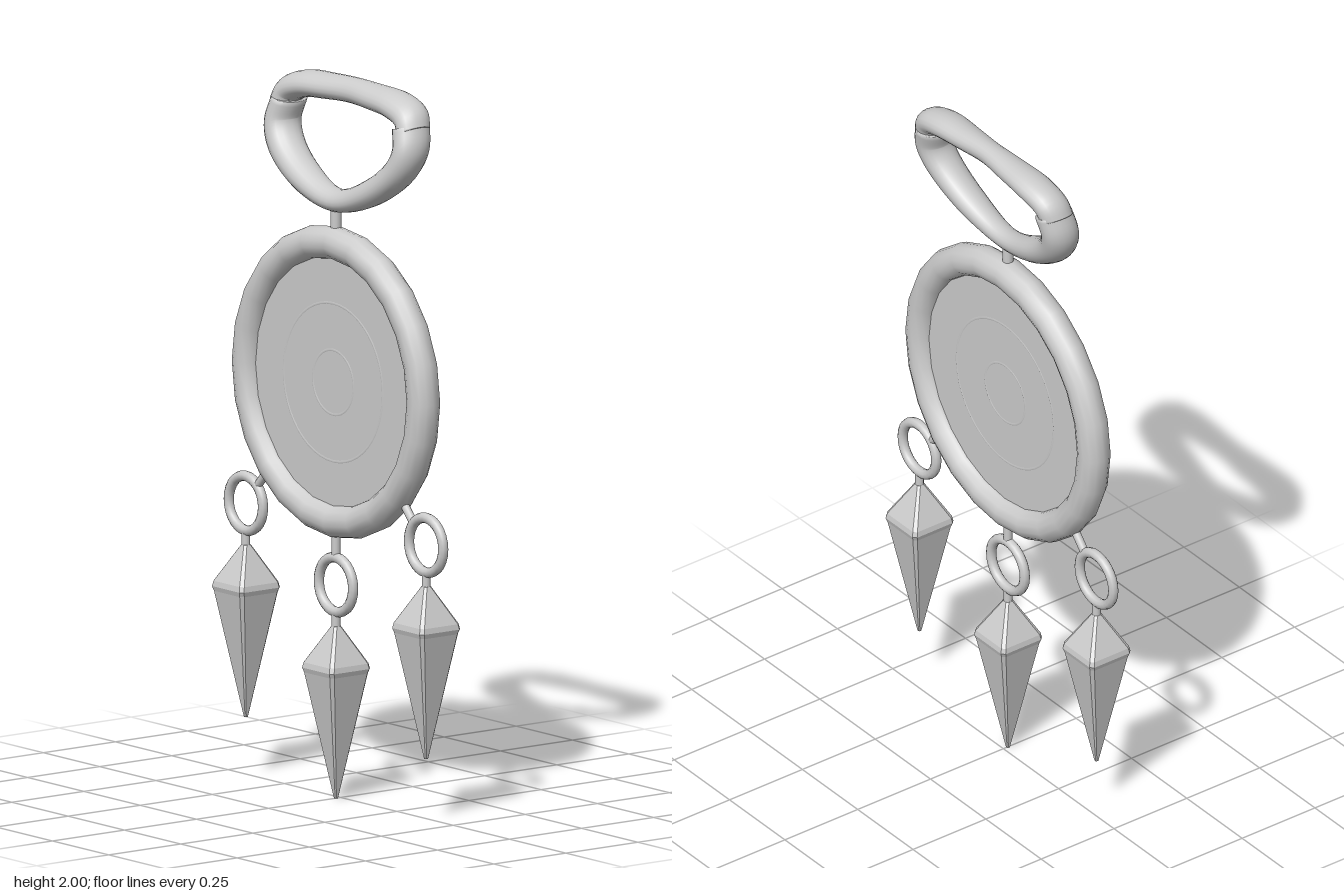
import * as THREE from 'three';

const Z = 0.016; // depth of the pendant's middle plane
const grey = new THREE.MeshStandardMaterial({ color: 0xcccccc });
const greyFlat = new THREE.MeshStandardMaterial({ color: 0xcccccc, flatShading: true });

function add(parent, name, geometry, x = 0, y = 0, z = 0, material = grey) {
  const mesh = new THREE.Mesh(geometry, material);
  mesh.name = name;
  mesh.position.set(x, y, z);
  parent.add(mesh);
  return mesh;
}

// Skin over rings of points that run counter-clockwise around the direction of travel
function skin(rings) {
  const n = rings[0].length, index = [];
  for (let i = 0; i < rings.length - 1; i++) {
    for (let j = 0; j < n; j++) {
      const k = (j + 1) % n;
      const a = i * n + j, b = i * n + k, c = b + n, d = a + n;
      index.push(a, b, c, a, c, d);
    }
  }
  const geometry = new THREE.BufferGeometry().setFromPoints(rings.flat());
  geometry.setIndex(index);
  geometry.computeVertexNormals();
  return geometry;
}

// Oval tube; each point is [x, y, half width in plane, half depth]
function ovalTube(half, steps) {
  const mirrored = half.slice(0, -1).reverse().map(([x, y, a, b]) => [-x, y, a, b]);
  const all = [...half, ...mirrored];
  const path = new THREE.CatmullRomCurve3(all.map(([x, y]) => new THREE.Vector3(x, y, 0)));
  const size = new THREE.CatmullRomCurve3(all.map(([, , a, b]) => new THREE.Vector3(a, b, 0)));
  const ring = (u, scale) => {
    const p = path.getPoint(u), t = path.getTangent(u), s = size.getPoint(u);
    const points = [];
    for (let j = 0; j < 20; j++) {
      const angle = (j / 20) * Math.PI * 2;
      const w = Math.cos(angle) * s.x * scale;
      const x = p.x - t.y * w, y = p.y + t.x * w;
      // the whole loop leans back as it rises
      const z = 0.013 - (y - 1.665) * 0.19 + Math.sin(angle) * s.y * scale;
      points.push(new THREE.Vector3(x, y, z));
    }
    return points;
  };
  const rings = [ring(0, 0), ring(0, 0.9)];
  for (let i = 0; i <= steps; i++) rings.push(ring(i / steps, 1));
  rings.push(ring(1, 0.9), ring(1, 0));
  return skin(rings);
}

// Thin round bar between two points in the middle plane
function bar(parent, name, x1, y1, x2, y2, radius) {
  const length = Math.hypot(x2 - x1, y2 - y1);
  const mesh = add(parent, name, new THREE.CylinderGeometry(radius, radius, length, 12),
    (x1 + x2) / 2, (y1 + y2) / 2, Z);
  mesh.rotation.z = -Math.atan2(x2 - x1, y2 - y1);
}

// Square spike with chamfered corners, tip at y = 0
function spikeGeometry() {
  const sections = [[0, 0], [0, 0.005], [0.35, 0.066], [0.363, 0.07], [0.378, 0.067], [0.48, 0.012], [0.48, 0]];
  return skin(sections.map(([y, h]) => {
    const c = h - Math.min(0.009, h * 0.5);
    return [[-c, h], [c, h], [h, c], [h, -c], [c, -h], [-c, -h], [-h, -c], [-h, c]]
      .map(([x, z]) => new THREE.Vector3(x, y, z));
  }));
}

export function createModel() {
  const model = new THREE.Group();
  model.name = 'pendant';

  // Hanging loop: lower band and upper bar meeting at the corners
  const loop = new THREE.Group();
  loop.name = 'hangingLoop';
  model.add(loop);
  add(loop, 'loopLowerBand', ovalTube([
    [-0.27, 1.907, 0.042, 0.056], [-0.284, 1.845, 0.043, 0.056], [-0.255, 1.785, 0.043, 0.054],
    [-0.15, 1.71, 0.039, 0.048], [0, 1.666, 0.031, 0.037],
  ], 48));
  add(loop, 'loopUpperBar', ovalTube([
    [-0.283, 1.895, 0.039, 0.05], [-0.265, 1.93, 0.039, 0.052], [-0.2, 1.954, 0.037, 0.054],
    [-0.1, 1.962, 0.035, 0.047], [0, 1.966, 0.034, 0.039],
  ], 48));
  bar(model, 'loopConnector', 0, 1.57, 0, 1.65, 0.015);

  // Round frame with its inset plate and engraved-looking circles
  const medallion = new THREE.Group();
  medallion.name = 'medallion';
  medallion.position.set(0, 1.16, Z);
  model.add(medallion);
  add(medallion, 'frame', new THREE.TorusGeometry(0.388, 0.046, 14, 24));
  add(medallion, 'plate', new THREE.CylinderGeometry(0.37, 0.37, 0.02, 48)).rotation.x = Math.PI / 2;
  for (const radius of [0.09, 0.22]) {
    add(medallion, 'plateCircle', new THREE.TorusGeometry(radius, 0.0115, 8, 48));
  }

  // Three drops: small ring, pin and spike
  const spike = spikeGeometry();
  for (const [name, x, y] of [['centreDrop', 0, 0], ['rightDrop', -0.4, 0.165], ['leftDrop', 0.4, 0.172]]) {
    const drop = new THREE.Group();
    drop.name = name;
    model.add(drop);
    add(drop, 'smallRing', new THREE.TorusGeometry(0.076, 0.0145, 10, 28), x, y + 0.595, Z);
    bar(drop, 'spikePin', x, y + 0.47, x, y + 0.515, 0.012);
    add(drop, 'spike', spike, x, y, Z, greyFlat);
    const side = Math.sign(x);
    if (side) bar(drop, 'frameLink', side * 0.285, 0.885, side * 0.345, 0.82, 0.012);
    else bar(drop, 'frameLink', 0, 0.74, 0, 0.67, 0.012);
  }
  return model;
}
